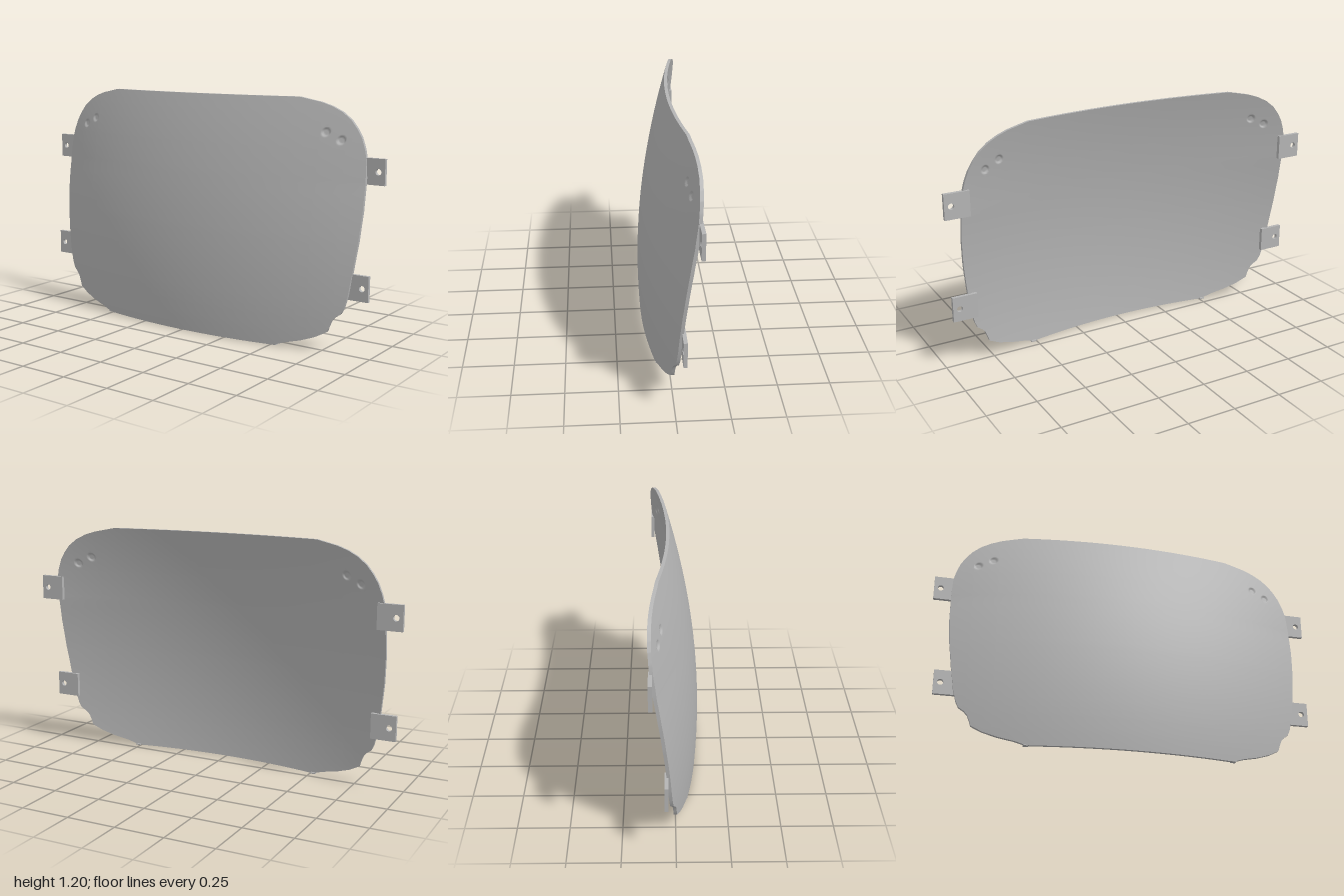
import * as THREE from 'three';

const THICK = 0.016;
// half width of the panel at each height, bottom to top: [y, x]
const OUTLINE = [
  [0, 0.5], [0.006, 0.53], [0.02, 0.57], [0.04, 0.65], [0.065, 0.72], [0.095, 0.775], [0.12, 0.783],
  [0.15, 0.795], [0.17, 0.812], [0.19, 0.838], [0.22, 0.852], [0.28, 0.868], [0.4, 0.886], [0.54, 0.903],
  [0.68, 0.912], [0.82, 0.912], [0.92, 0.907], [0.97, 0.895], [1.02, 0.876], [1.06, 0.852], [1.1, 0.82],
  [1.135, 0.775], [1.16, 0.725], [1.178, 0.67], [1.19, 0.61], [1.2, 0.56],
];
const DIMPLES = [[0.71, 1.04], [0.785, 1.005]];

function halfWidth(y) {
  for (let i = 1; i < OUTLINE.length; i++) {
    const [y0, x0] = OUTLINE[i - 1], [y1, x1] = OUTLINE[i];
    if (y <= y1) return x0 + (x1 - x0) * (y - y0) / (y1 - y0);
  }
  return OUTLINE[OUTLINE.length - 1][1];
}

// doubly curved front surface
function surfaceZ(x, y) {
  const bend = 0.185 - 0.06 * Math.max(0, y - 0.8);
  return 0.121 - 0.158 * (y - 0.25) ** 2 - bend * x * x;
}

// small round dents near the upper corners
function dent(x, y) {
  let d = 0;
  for (const [dx, dy] of DIMPLES) {
    const r = Math.hypot(Math.abs(x) - dx, y - dy);
    d = Math.max(d, 0.007 * Math.min(1, Math.max(0, (0.021 - r) / 0.006)));
  }
  return d;
}

// sorted grid lines, denser around the dimples
function gridLines(values) {
  return [...new Set(values.map((v) => Math.round(v * 1000)))].sort((a, b) => a - b).map((v) => v / 1000);
}
function range(from, to, step) {
  const out = [];
  for (let v = from; v < to + 1e-6; v += step) out.push(v);
  return out;
}

function geometryFrom(positions, index) {
  const g = new THREE.BufferGeometry();
  g.setAttribute('position', new THREE.Float32BufferAttribute(positions, 3));
  g.setIndex(index);
  g.computeVertexNormals();
  return g;
}

export function createModel() {
  const model = new THREE.Group();
  model.name = 'curvedPanel';
  const grey = new THREE.MeshStandardMaterial({ color: 0xb4b4b4 });
  grey.name = 'plain grey';

  const add = (name, geometry) => {
    const mesh = new THREE.Mesh(geometry, grey);
    mesh.name = name;
    model.add(mesh);
    return mesh;
  };

  const half = [...range(0, 0.92, 0.04), ...range(0.685, 0.81, 0.005)];
  const xs = gridLines([...half, ...half.map((x) => -x)]);
  const ys = gridLines([...OUTLINE.map((p) => p[0]), ...range(0, 1.2, 0.04), ...range(0.98, 1.065, 0.005)]);
  const clampX = (x, y) => Math.max(-halfWidth(y), Math.min(halfWidth(y), x));

  // front and back skins: a grid whose rows stop at the outline
  function skin(back) {
    const pos = [], index = [], n = xs.length;
    for (const y of ys) {
      for (const gx of xs) {
        const x = clampX(gx, y);
        const z = surfaceZ(x, y);
        pos.push(x, y, back ? z - THICK + dent(x, y) : z - dent(x, y));
      }
    }
    for (let j = 0; j < ys.length - 1; j++) {
      for (let i = 0; i < n - 1; i++) {
        const a = j * n + i, b = a + 1, c = b + n, d = a + n;
        if (back) index.push(a, c, b, a, d, c);
        else index.push(a, b, c, a, c, d);
      }
    }
    return geometryFrom(pos, index);
  }
  add('panelFront', skin(false));
  add('panelBack', skin(true));

  // rim joining both skins, counterclockwise around the outline
  const top = ys[ys.length - 1];
  const edge = (y) => xs.filter((x) => Math.abs(x) < halfWidth(y)).map((x) => [x, y]);
  const loop = [
    ...edge(0),
    ...ys.map((y) => [halfWidth(y), y]),
    ...edge(top).reverse(),
    ...ys.map((y) => [-halfWidth(y), y]).reverse(),
  ];
  const rimPos = [], rimIndex = [];
  loop.forEach(([x, y], i) => {
    const z = surfaceZ(x, y);
    rimPos.push(x, y, z, x, y, z - THICK);
    const p = 2 * i, q = 2 * ((i + 1) % loop.length);
    rimIndex.push(p, p + 1, q + 1, p, q + 1, q);
  });
  add('panelRim', geometryFrom(rimPos, rimIndex));

  // square mounting tabs with a screw hole near the outer edge
  function tabGeometry(side) {
    const s = 0.0625;
    const shape = new THREE.Shape([
      new THREE.Vector2(-s, -s), new THREE.Vector2(s, -s), new THREE.Vector2(s, s), new THREE.Vector2(-s, s),
    ]);
    const hole = new THREE.Path();
    hole.absarc(side * 0.029, 0, 0.015, 0, Math.PI * 2, true);
    shape.holes.push(hole);
    return new THREE.ExtrudeGeometry(shape, { depth: 0.018, bevelEnabled: false, curveSegments: 12 });
  }
  for (const side of [1, -1]) {
    const label = side > 0 ? 'Left' : 'Right';
    add('upperTab' + label, tabGeometry(side)).position.set(side * 0.9375, 0.867, -0.119);
    add('lowerTab' + label, tabGeometry(side)).position.set(side * 0.903, 0.322, -0.052);
    // small lip under the bottom corner
    add('bottomLip' + label, new THREE.BoxGeometry(0.025, 0.006, 0.025)).position.set(side * 0.515, 0.003, 0.05);
  }
  return model;
}
